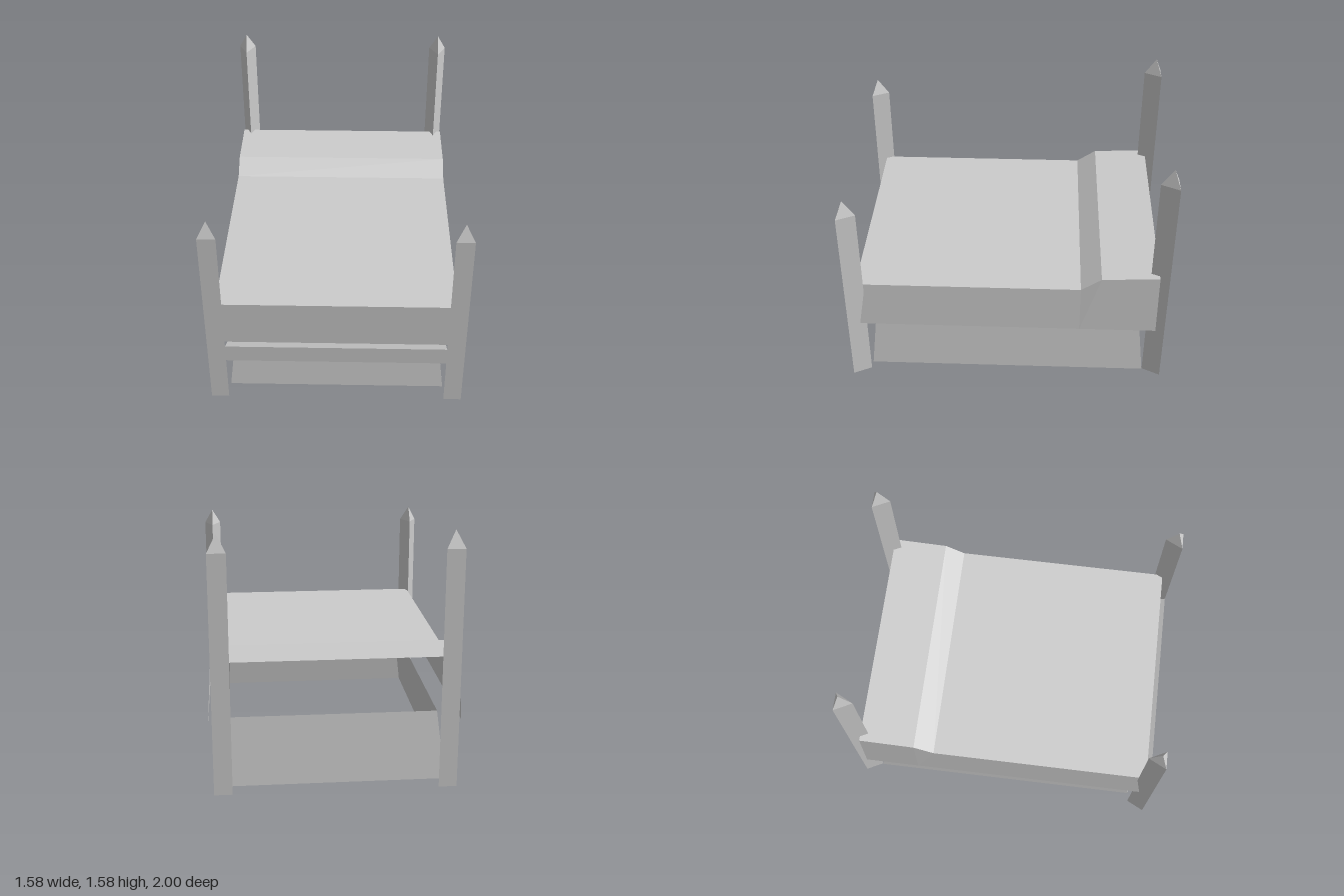
import * as THREE from 'three';

const solid = new THREE.MeshStandardMaterial({ color: 0xcccccc, flatShading: true });
const sheet = new THREE.MeshStandardMaterial({ color: 0xcccccc, flatShading: true, side: THREE.DoubleSide });

// Open surface from quads, corners counter-clockwise seen from outside
function quadSurface(quads) {
  const pos = [];
  for (const [a, b, c, d] of quads) pos.push(...a, ...b, ...c, ...a, ...c, ...d);
  const geo = new THREE.BufferGeometry();
  geo.setAttribute('position', new THREE.Float32BufferAttribute(pos, 3));
  geo.computeVertexNormals();
  return geo;
}

function add(parent, name, geometry, material) {
  const mesh = new THREE.Mesh(geometry, material);
  mesh.name = name;
  parent.add(mesh);
  return mesh;
}

// Three-sided post with a pointed top; the flat face looks outward along z
function makePost(name, x, side, shoulder, tip) {
  const post = new THREE.Group();
  post.name = name;
  const shaft = new THREE.CylinderGeometry(1, 1, shoulder, 3).translate(0, shoulder / 2, 0);
  const point = new THREE.ConeGeometry(1, tip - shoulder, 3, 1, true).translate(0, (tip + shoulder) / 2, 0);
  add(post, 'shaft', shaft, solid);
  add(post, 'point', point, solid);
  post.scale.set(0.0635, 1, 0.0733);
  post.rotation.y = side > 0 ? Math.PI : 0;
  post.position.set(x, 0, side * 0.963);
  return post;
}

// Blanket with raised pillow: open below and at the back
function makeBlanket() {
  const low = 0.41, topX = 0.73, lowX = 0.755;
  const profile = [[0.71, 0.94], [0.71, -0.46], [0.795, -0.585], [0.81, -0.94]]; // y, z
  const quads = [[
    [-lowX, low, 0.94], [lowX, low, 0.94], [topX, 0.71, 0.94], [-topX, 0.71, 0.94],
  ]];
  for (let i = 0; i < profile.length - 1; i++) {
    const [y0, z0] = profile[i], [y1, z1] = profile[i + 1];
    quads.push([[-topX, y0, z0], [topX, y0, z0], [topX, y1, z1], [-topX, y1, z1]]);
    quads.push([[lowX, low, z0], [lowX, low, z1], [topX, y1, z1], [topX, y0, z0]]);
    quads.push([[-lowX, low, z1], [-lowX, low, z0], [-topX, y0, z0], [-topX, y1, z1]]);
  }
  return quadSurface(quads);
}

// Four leaning walls under the bed, open above and below
function makeSkirt() {
  const ring = (x, y, z) => [[-x, y, z], [x, y, z], [x, y, -z], [-x, y, -z]];
  const bottom = ring(0.68, 0, 0.888), top = ring(0.627, 0.43, 0.842);
  return quadSurface(bottom.map((p, i) => {
    const j = (i + 1) % 4;
    return [p, bottom[j], top[j], top[i]];
  }));
}

export function createModel() {
  const bed = new THREE.Group();
  bed.name = 'bed';

  add(bed, 'blanket', makeBlanket(), sheet);
  add(bed, 'skirt', makeSkirt(), sheet);

  // Three-sided rail between the front posts
  const rail = new THREE.CylinderGeometry(1, 1, 1.36, 3)
    .scale(0.0664, 1, 0.0733).rotateY(Math.PI).rotateZ(Math.PI / 2);
  add(bed, 'frontRail', rail, solid).position.set(0, 0.3675, 0.963);

  for (const s of [1, -1]) {
    const hand = s > 0 ? 'Left' : 'Right';
    bed.add(makePost(`front${hand}Post`, s * 0.735, 1, 1.245, 1.345));
    bed.add(makePost(`back${hand}Post`, s * 0.675, -1, 1.47, 1.575));
  }
  return bed;
}
